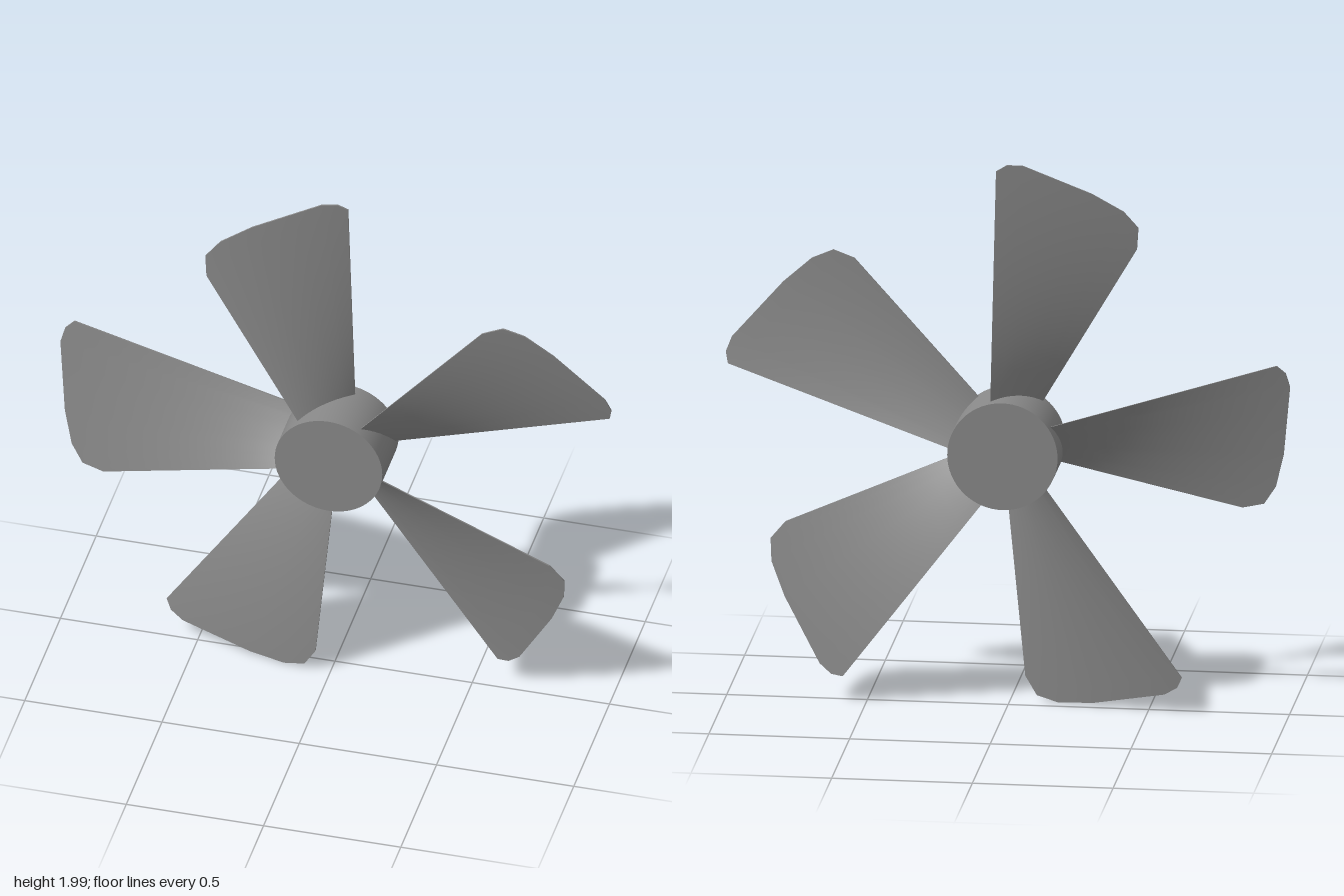
import * as THREE from 'three';

const material = new THREE.MeshStandardMaterial({ color: 0x888888 });
const BLADES = 5, ROOT_Y = 0.1, THICKNESS = 0.006;

// Blade tip outline from leading to trailing corner, measured from the hub axis
const TIP = [[0.032, 1.025], [-0.005, 1.046], [-0.06, 1.043], [-0.3, 0.935],
  [-0.41, 0.867], [-0.461, 0.805], [-0.455, 0.725]];
const ROOT_SHARE = [0, 0.08, 0.16, 0.52, 0.75, 0.9, 1];

// Straight side edges of the blade
const leadX = (y) => 0.051 - 0.0185 * y;
const trailX = (y) => -0.03 - 0.586 * y;

// Twisted, slightly cambered blade surface
function bladeZ(x, y) {
  const f = (leadX(y) - x) / (leadX(y) - trailX(y));
  const r = (y - 0.2) / 0.8;
  const lead = -0.075 + 0.035 * r, trail = 0.08 - 0.013 * r;
  return lead + (trail - lead) * f + 0.044 * f * (1 - f);
}

// A thin subdivided box is bent into the blade
function bladeGeometry() {
  const spans = TIP.length - 1;
  const geo = new THREE.BoxGeometry(1, 1, 1, spans * 3, 14, 1);
  const pos = geo.attributes.position;
  const mix = THREE.MathUtils.lerp;
  for (let i = 0; i < pos.count; i++) {
    const t = (0.5 - pos.getX(i)) * spans;
    const k = Math.min(spans - 1, Math.floor(t + 1e-6)), f = t - k;
    const s = pos.getY(i) + 0.5;
    const tipX = mix(TIP[k][0], TIP[k + 1][0], f);
    const tipY = mix(TIP[k][1], TIP[k + 1][1], f);
    const rootX = mix(leadX(ROOT_Y), trailX(ROOT_Y), mix(ROOT_SHARE[k], ROOT_SHARE[k + 1], f));
    const x = mix(rootX, tipX, s), y = mix(ROOT_Y, tipY, s);
    pos.setXYZ(i, x, y, bladeZ(x, y) + pos.getZ(i) * THICKNESS);
  }
  geo.computeVertexNormals();
  return geo;
}

export function createModel() {
  const model = new THREE.Group();
  model.name = 'propeller';

  const rotor = new THREE.Group();
  rotor.name = 'rotor';
  rotor.position.set(0.006, 0.944, 0);
  model.add(rotor);

  // Hub with its axis along z
  const hub = new THREE.Mesh(new THREE.CylinderGeometry(0.196, 0.196, 0.228, 64), material);
  hub.name = 'hub';
  hub.rotation.x = Math.PI / 2;
  rotor.add(hub);

  // Blades evenly spaced around the hub
  const geo = bladeGeometry();
  for (let i = 0; i < BLADES; i++) {
    const blade = new THREE.Mesh(geo, material);
    blade.name = `blade${i + 1}`;
    blade.rotation.z = (i * Math.PI * 2) / BLADES;
    rotor.add(blade);
  }
  return model;
}
